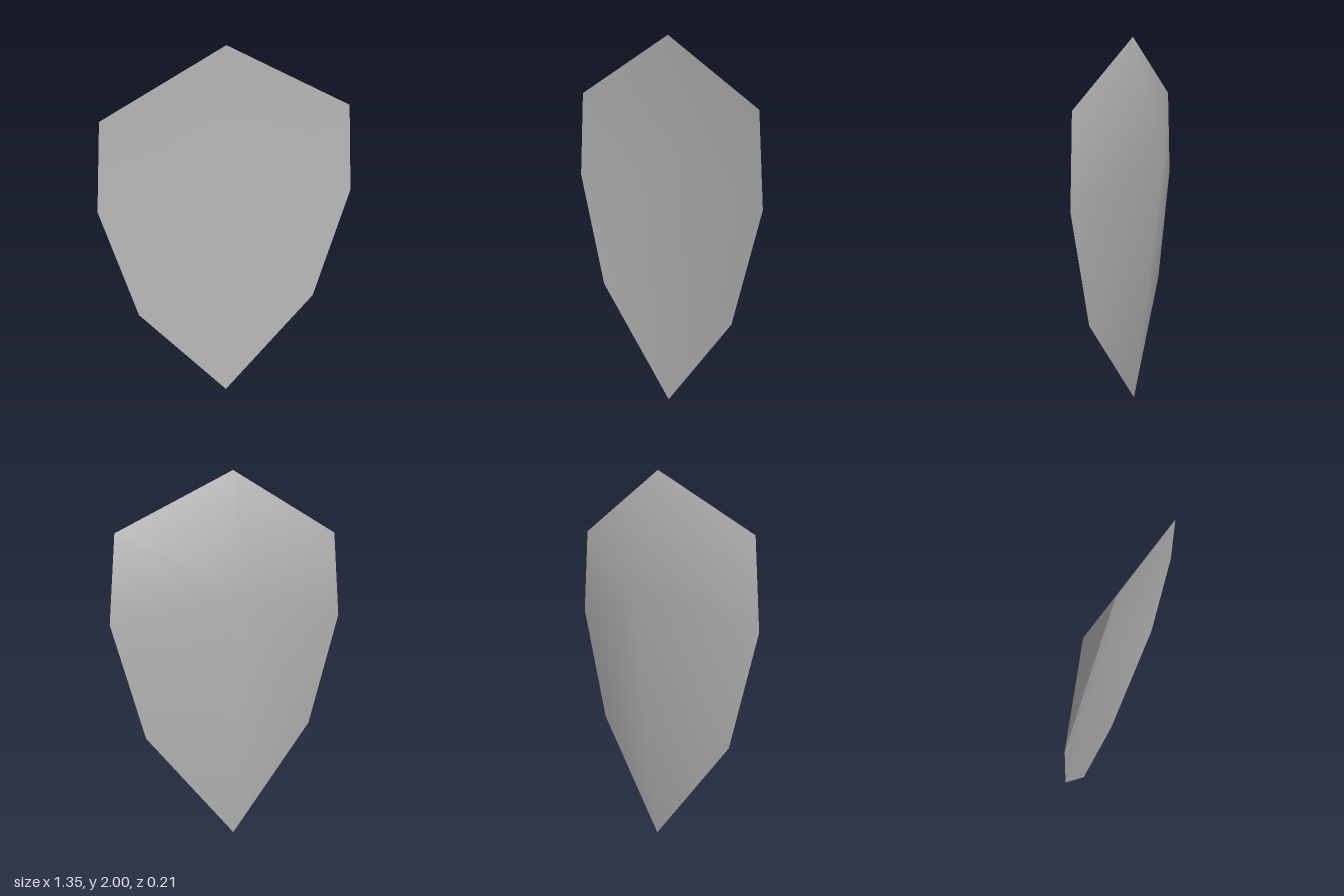
import * as THREE from 'three';

// Right half of the outline, from the top point down to the bottom point
const half = [[0, 2, 0.065], [-0.64, 1.67, 0.105], [-0.675, 1.2, 0.105], [-0.49, 0.58, 0.105], [0, 0, 0.065]];
const mirrored = half.slice(1, -1).reverse().map(([x, y, z]) => [-x, y, z]);
const rim = [...half, ...mirrored]; // counter-clockwise from the front

// Smooth fan of faces between a centre point and the rim
function fan(centre, facesFront) {
  const index = [];
  rim.forEach((_, i) => {
    const a = i + 1, b = ((i + 1) % rim.length) + 1;
    index.push(0, ...(facesFront ? [a, b] : [b, a]));
  });
  const geometry = new THREE.BufferGeometry();
  geometry.setAttribute('position', new THREE.Float32BufferAttribute([centre, ...rim].flat(), 3));
  geometry.setIndex(index);
  geometry.computeVertexNormals();
  return geometry;
}

export function createModel() {
  const grey = new THREE.MeshStandardMaterial({ color: 0xb8b8b8 });
  grey.name = 'plain grey';

  const group = new THREE.Group();
  group.name = 'shieldPlate';

  // Shallow hollow front
  const front = new THREE.Mesh(fan([0, 1.36, 0.04], true), grey);
  front.name = 'hollowFront';

  // Back rising to a blunt peak
  const back = new THREE.Mesh(fan([0, 1.36, -0.105], false), grey);
  back.name = 'peakedBack';

  group.add(front, back);
  return group;
}
